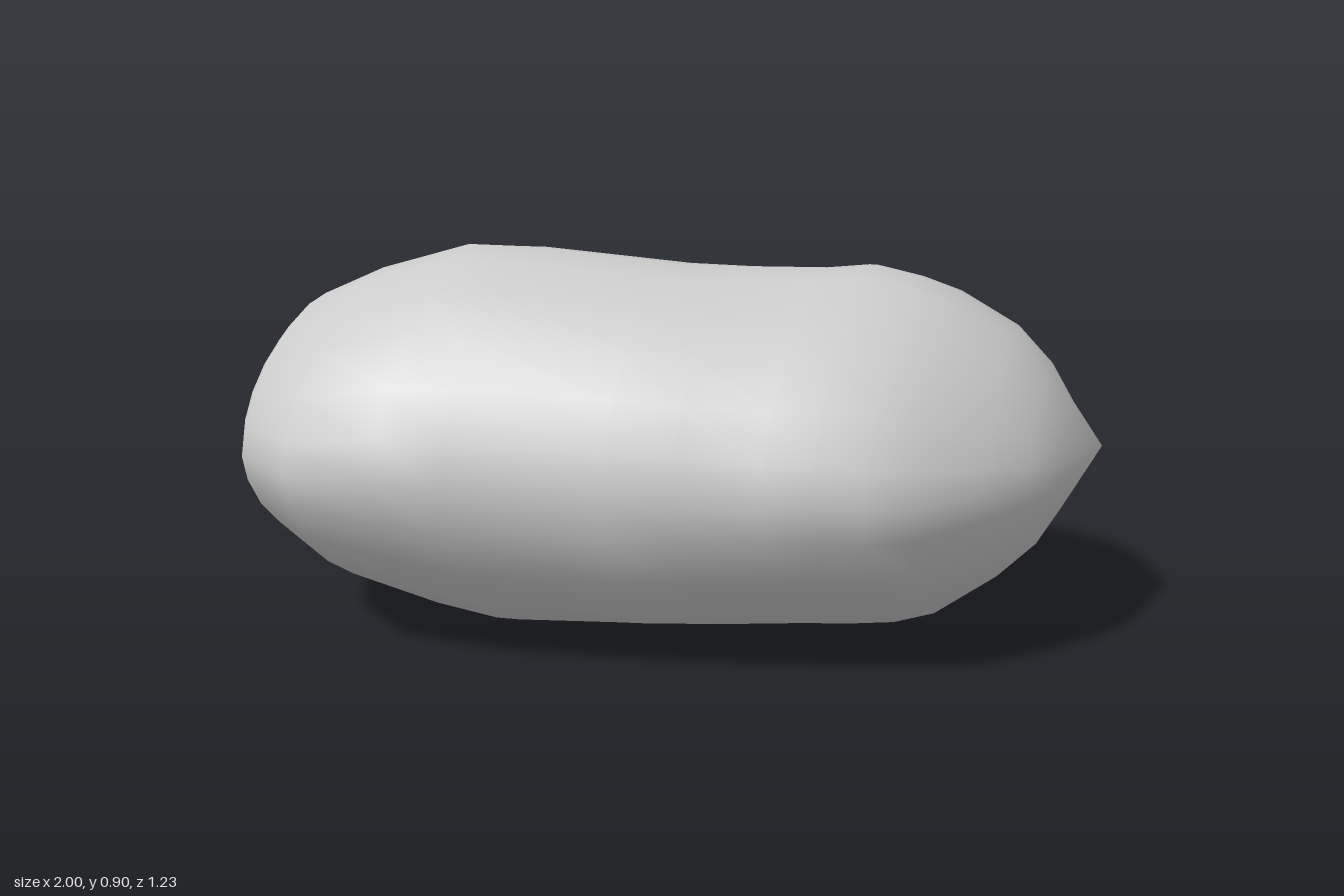
import * as THREE from 'three';
import { mergeVertices } from 'three/addons/utils/BufferGeometryUtils.js';

// Cross-sections along the body: x, back z, front z, bottom y, top y
const SECTIONS = [
  [-1.0, -0.03, -0.03, 0.45, 0.45],
  [-0.94, -0.14, 0.27, 0.28, 0.61],
  [-0.88, -0.25, 0.37, 0.22, 0.695],
  [-0.8, -0.29, 0.5, 0.16, 0.76],
  [-0.63, -0.365, 0.61, 0.085, 0.835],
  [-0.42, -0.41, 0.6, 0.025, 0.897],
  [-0.28, -0.43, 0.57, 0.0, 0.895],
  [0.06, -0.46, 0.5, 0.02, 0.865],
  [0.2, -0.51, 0.47, 0.02, 0.86],
  [0.38, -0.58, 0.43, 0.023, 0.86],
  [0.48, -0.6, 0.41, 0.025, 0.87],
  [0.58, -0.62, 0.37, 0.03, 0.845],
  [0.67, -0.595, 0.33, 0.06, 0.815],
  [0.8, -0.545, 0.2, 0.15, 0.735],
  [0.88, -0.47, 0.09, 0.23, 0.65],
  [0.93, -0.41, 0.0, 0.32, 0.56],
  [1.0, -0.3, -0.3, 0.44, 0.44],
];
const SIDES = 24;

const bulge = (v, power) => Math.sign(v) * Math.abs(v) ** (2 / power);

function createBodyGeometry() {
  const positions = [];
  const index = [];
  const last = SECTIONS.length - 1;

  SECTIONS.forEach(([x, back, front, bottom, top], i) => {
    // Round in the middle, slightly pinched at the sides towards the ends
    const power = 1.9 - 0.25 * Math.min(1, Math.abs(x) / 0.5);
    for (let j = 0; j < SIDES; j++) {
      const a = (j / SIDES) * Math.PI * 2;
      positions.push(
        x,
        (top + bottom) / 2 + bulge(Math.sin(a), power) * (top - bottom) / 2,
        (front + back) / 2 + bulge(Math.cos(a), power) * (front - back) / 2,
      );
      if (i === last) continue;
      const p = i * SIDES + j;
      const q = i * SIDES + (j + 1) % SIDES;
      // The first and last rings are single points, so they take one triangle per side
      if (i > 0) index.push(p, p + SIDES, q);
      if (i < last - 1) index.push(q, p + SIDES, q + SIDES);
      if (i === 0) index.push(p, p + SIDES, q + SIDES);
    }
  });

  const geometry = new THREE.BufferGeometry();
  geometry.setAttribute('position', new THREE.Float32BufferAttribute(positions, 3));
  geometry.setIndex(index.filter((_, k) => !(Math.floor(k / 3) < SIDES * 2 && Math.floor(k / 3) % 2 === 0)));
  const welded = mergeVertices(geometry, 1e-4);
  welded.computeVertexNormals();
  return welded;
}

export function createModel() {
  const group = new THREE.Group();
  group.name = 'bean';
  const body = new THREE.Mesh(
    createBodyGeometry(),
    new THREE.MeshStandardMaterial({ color: 0xcccccc, roughness: 0.8 }),
  );
  body.name = 'beanBody';
  group.add(body);
  return group;
}
